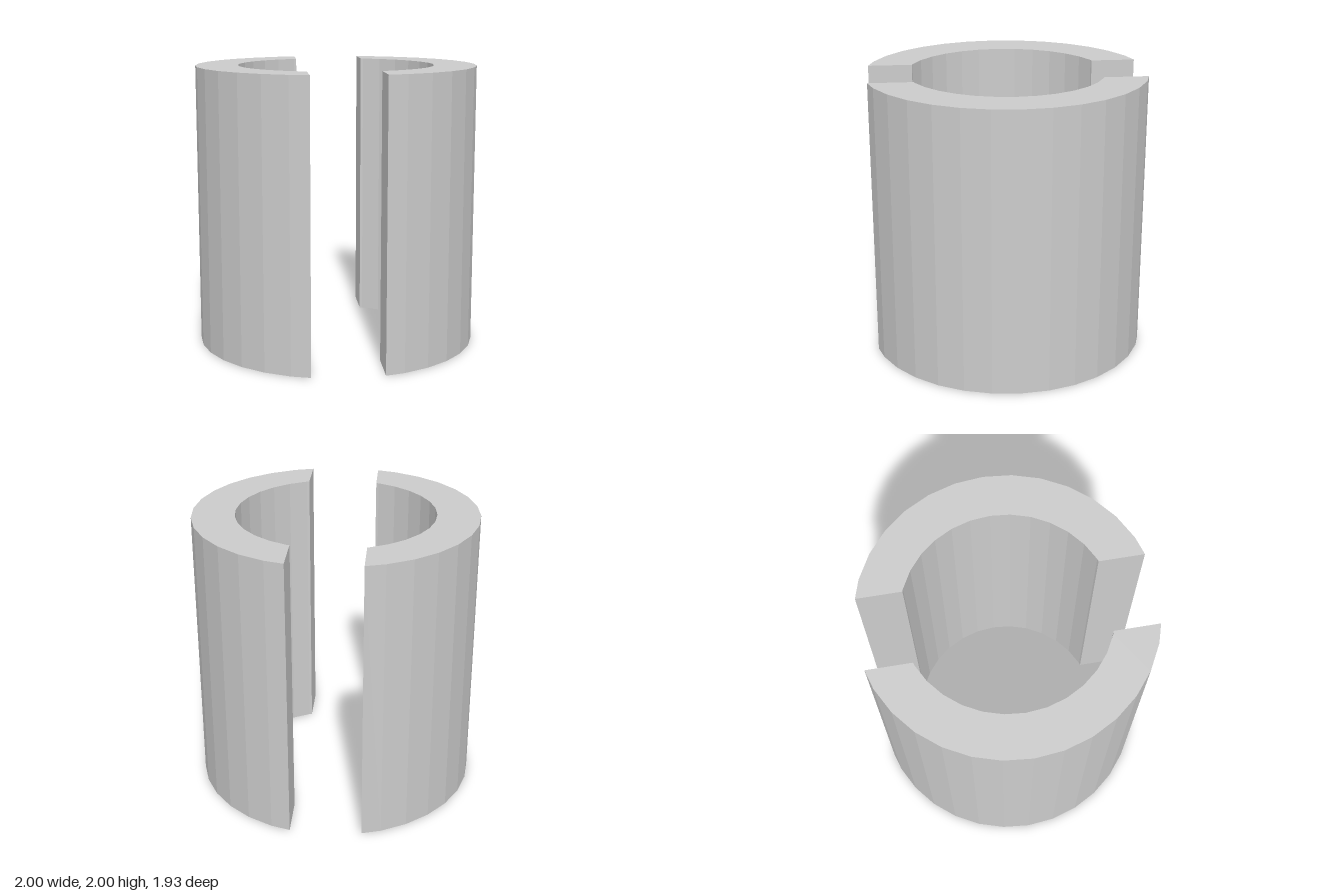
import * as THREE from 'three';

const HEIGHT = 2, OUTER = 1, INNER = 0.7, SLOT = 0.25;
const STEP = Math.PI / 16; // 32-sided rings

// Points of a faceted arc on the +x side, trimmed where it meets the slot
function trimmedArc(radius) {
  const at = (k) => new THREE.Vector2(radius * Math.cos(k * STEP), radius * Math.sin(k * STEP));
  const a = at(6), b = at(7);
  const end = a.clone().lerp(b, (a.x - SLOT) / (a.x - b.x));
  const points = [new THREE.Vector2(end.x, -end.y)];
  for (let k = -6; k <= 6; k++) points.push(at(k));
  points.push(end);
  return points;
}

export function createModel() {
  const group = new THREE.Group();
  group.name = 'splitSleeve';
  const material = new THREE.MeshStandardMaterial({ color: 0xcccccc, flatShading: true });

  // C-shaped half: outer arc, then back along the inner arc
  const profile = new THREE.Shape([...trimmedArc(OUTER), ...trimmedArc(INNER).reverse()]);
  const geometry = new THREE.ExtrudeGeometry(profile, { depth: HEIGHT, bevelEnabled: false });
  geometry.rotateX(-Math.PI / 2);

  // Two identical halves facing each other across the slot
  ['leftHalf', 'rightHalf'].forEach((name, i) => {
    const half = new THREE.Mesh(geometry, material);
    half.name = name;
    half.rotation.y = i * Math.PI;
    group.add(half);
  });
  return group;
}
